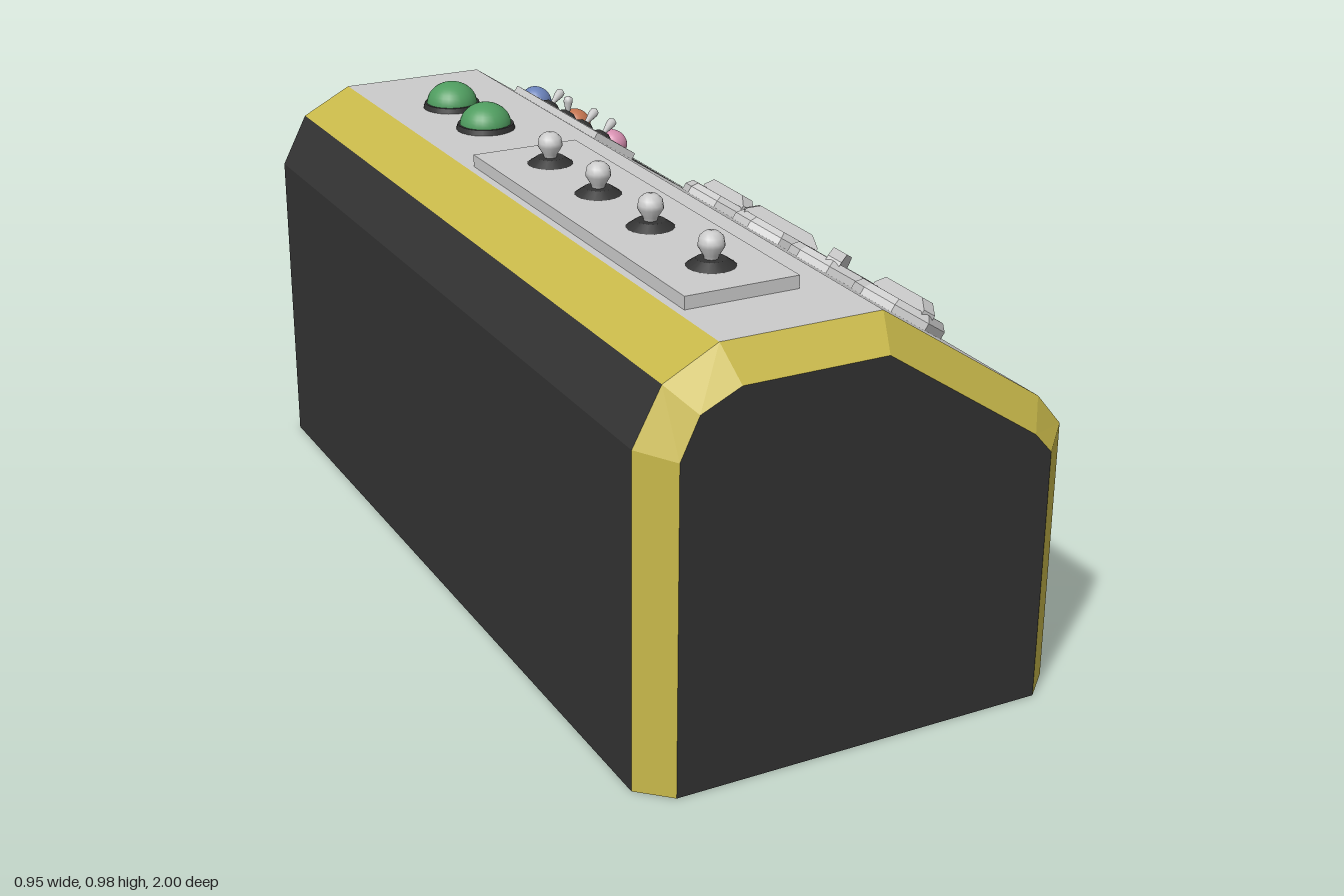
import * as THREE from 'three';

const mat = (color, flatShading = false) => new THREE.MeshStandardMaterial({ color, flatShading });
const GREY = 0xcccccc, DARK = 0x333333, YELLOW = 0xc8b84a;
const GREEN = 0x4f9c5f, BLUE = 0x6a82ba, ORANGE = 0xc4744f, PINK = 0xd68fb0;

// Cross-section of the shell, from the bottom left over the top to the bottom right
const OUTER = [[-0.475, 0], [-0.475, 0.71], [-0.415, 0.825], [-0.3, 0.885], [0.045, 0.885],
  [0.415, 0.64], [0.473, 0.57], [0.473, 0.54], [0.473, 0]];
const INNER = [[-0.41, 0], [-0.41, 0.695], [-0.37, 0.78], [-0.285, 0.82], [0.025, 0.82],
  [0.37, 0.59], [0.41, 0.545], [0.41, 0.52], [0.41, 0]];
const SLOPE = 4; // segment that carries the sloping control panel

function add(parent, name, geometry, material, x = 0, y = 0, z = 0) {
  const mesh = new THREE.Mesh(geometry, material);
  mesh.name = name;
  mesh.position.set(x, y, z);
  parent.add(mesh);
  return mesh;
}

const box = (parent, name, color, x0, x1, y0, y1, z0, z1) =>
  add(parent, name, new THREE.BoxGeometry(x1 - x0, y1 - y0, z1 - z0), mat(color),
    (x0 + x1) / 2, (y0 + y1) / 2, (z0 + z1) / 2);

const lathe = (points, sides) =>
  new THREE.LatheGeometry(points.map(p => new THREE.Vector2(...p)), sides);

// Flat quads joining two rings for the chosen segments; ring A is nearer the front
function strip(a, za, b, zb, segments) {
  const pos = [];
  for (const i of segments) {
    const p = [...a[i], za], q = [...a[i + 1], za], r = [...b[i + 1], zb], s = [...b[i], zb];
    pos.push(...p, ...q, ...r, ...p, ...r, ...s);
  }
  const g = new THREE.BufferGeometry();
  g.setAttribute('position', new THREE.Float32BufferAttribute(pos, 3));
  g.computeVertexNormals();
  return g;
}

const flatShape = points =>
  new THREE.ShapeGeometry(new THREE.Shape(points.map(p => new THREE.Vector2(...p))));

function dome(parent, color, r, x, z) {
  const g = new THREE.Group();
  g.name = 'domeLight';
  g.position.set(x, 0, z);
  add(g, 'domeBase', new THREE.CylinderGeometry(r * 1.08, r * 1.14, 0.012, 24), mat(DARK), 0, 0.006);
  add(g, 'domeLens', new THREE.SphereGeometry(r, 24, 10, 0, Math.PI * 2, 0, Math.PI / 2), mat(color), 0, 0.009)
    .scale.y = 0.85;
  parent.add(g);
}

// Eight-sided rotary dial with a raised grip
function dial(parent, color, x, z, turn) {
  const g = new THREE.Group();
  g.name = 'rotaryDial';
  g.position.set(x, 0, z);
  g.rotation.y = turn;
  add(g, 'dialRim', lathe([[0.104, 0], [0.104, 0.016], [0.092, 0.03], [0.08, 0.03], [0.076, 0.012]], 8), mat(GREY, true));
  add(g, 'dialFace', new THREE.CylinderGeometry(0.08, 0.08, 0.016, 8), mat(color, true), 0, 0.008);
  const grip = new THREE.Shape([[-0.09, 0.012], [0.09, 0.012], [0.09, 0.035], [0.065, 0.055], [-0.065, 0.055], [-0.09, 0.035]]
    .map(p => new THREE.Vector2(...p)));
  const gripGeo = new THREE.ExtrudeGeometry(grip, { depth: 0.032, bevelEnabled: false });
  gripGeo.translate(0, 0, -0.016).rotateY(Math.PI / 2);
  add(g, 'dialGrip', gripGeo, mat(GREY));
  parent.add(g);
}

// Small toggle lever leaning by an angle
function toggle(parent, x, y, z, lean) {
  const g = new THREE.Group();
  g.name = 'toggle';
  g.position.set(x, y, z);
  add(g, 'toggleBase', new THREE.CylinderGeometry(0.012, 0.023, 0.008, 16), mat(DARK), 0, 0.004);
  const lever = add(g, 'toggleLever',
    lathe([[0.005, 0], [0.006, 0.012], [0.011, 0.032], [0.01, 0.042], [0, 0.047]], 12), mat(GREY));
  lever.rotation.z = lean;
  parent.add(g);
}

export function createModel() {
  const model = new THREE.Group();
  model.name = 'controlConsole';

  // Shell: coloured strips, bevelled trim, end panels, floor
  const skin = (name, color, segs) => add(model, name, strip(OUTER, 0.94, OUTER, -0.94, segs), mat(color));
  skin('darkSides', DARK, [0, 1, 7]);
  skin('trimStrips', YELLOW, [2, 6]);
  skin('greyTop', GREY, [3, 5]);
  const all = OUTER.slice(1).map((_, i) => i);
  add(model, 'frontTrim', strip(INNER, 1, OUTER, 0.94, all), mat(YELLOW));
  add(model, 'backTrim', strip(OUTER, -0.94, INNER, -1, all), mat(YELLOW));
  add(model, 'frontPanel', flatShape(INNER), mat(DARK), 0, 0, 1);
  add(model, 'backPanel', flatShape(INNER.map(([x, y]) => [-x, y])), mat(DARK), 0, 0, -1).rotation.y = Math.PI;
  add(model, 'floor', flatShape([[-0.41, -1], [0.41, -1], [0.473, -0.94], [0.473, 0.94], [0.41, 1],
    [-0.41, 1], [-0.475, 0.94], [-0.475, -0.94]]), mat(DARK)).rotation.x = Math.PI / 2;

  // Flat top: switch plate, four knob switches, two green lights
  const top = new THREE.Group();
  top.name = 'topControls';
  top.position.y = 0.885;
  model.add(top);
  box(top, 'switchPlate', GREY, -0.282, -0.035, -0.01, 0.027, -0.2, 0.775);
  const rows = [-0.07, 0.165, 0.4, 0.65];
  for (const z of rows) {
    add(top, 'switchBase', new THREE.CylinderGeometry(0.03, 0.05, 0.014, 20), mat(DARK), -0.157, 0.034, z);
    add(top, 'switchKnob', lathe([[0.013, 0.038], [0.016, 0.048], [0.027, 0.066], [0.026, 0.074],
      [0.024, 0.085], [0.014, 0.094], [0, 0.096]], 16), mat(GREY), -0.157, 0, z);
  }
  for (const z of [-0.66, -0.46]) dome(top, GREEN, 0.06, -0.14, z);

  // Sloping panel: local x runs down the slope, local y points outward
  const [[x0, y0], [x1, y1]] = [OUTER[SLOPE], OUTER[SLOPE + 1]];
  const length = Math.hypot(x1 - x0, y1 - y0);
  const slope = new THREE.Group();
  slope.name = 'slopeControls';
  slope.position.set(x0, y0, 0);
  slope.rotation.z = Math.atan2(y1 - y0, x1 - x0);
  model.add(slope);
  const along = x => (x - x0) * length / (x1 - x0);

  // Panel face with the opening for the sunken tray
  const u0 = along(0.18), u1 = along(0.36), w0 = -0.78, w1 = -0.33, depth = 0.04;
  const rect = (a, b, c, d) => [[a, c], [b, c], [b, d], [a, d]].map(p => new THREE.Vector2(...p));
  const face = new THREE.Shape(rect(0, length, -0.94, 0.94));
  face.holes.push(new THREE.Path(rect(u0, u1, -w1, -w0)));
  add(slope, 'slopePanel', new THREE.ShapeGeometry(face).rotateX(-Math.PI / 2), mat(GREY));
  const t = 0.005;
  box(slope, 'trayFloor', DARK, u0 - t, u1 + t, -depth - t, -depth, w0 - t, w1 + t);
  for (const [a, b] of [[u0 - t, u0], [u1, u1 + t]]) box(slope, 'trayWall', DARK, a, b, -depth, -0.001, w0 - t, w1 + t);
  for (const [a, b] of [[w0 - t, w0], [w1, w1 + t]]) box(slope, 'trayWall', DARK, u0, u1, -depth, -0.001, a, b);

  // Toggle plate above the tray
  box(slope, 'togglePlate', GREY, 0.038, 0.155, -0.005, 0.016, w0, w1);
  [-0.7, -0.605, -0.51, -0.415].forEach((z, i) => toggle(slope, 0.103, 0.016, z, i === 1 ? 0.55 : -0.15));

  // Indicator lights and rotary dials
  [[BLUE, 0.165], [ORANGE, 0.275], [PINK, 0.38]].forEach(([c, x]) => dome(slope, c, 0.038, along(x), -0.85));
  const dials = [[PINK, 0], [ORANGE, 1.05], [BLUE, -0.75], [GREEN, 0]];
  dials.forEach(([c, turn], i) => dial(slope, c, along(0.27), rows[i], turn));

  return model;
}
